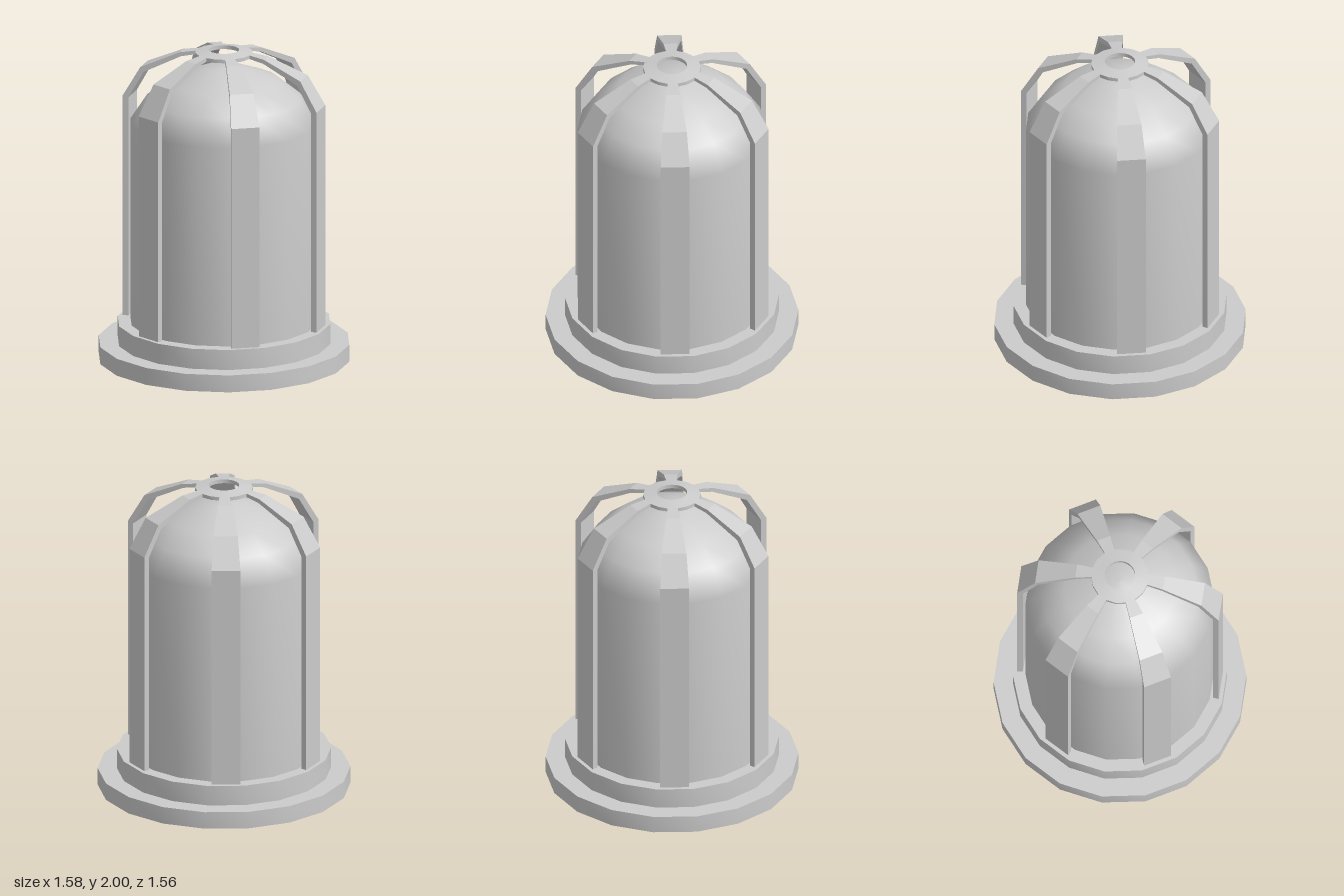
import * as THREE from 'three';
import { toCreasedNormals } from 'three/addons/utils/BufferGeometryUtils.js';

const SIDES = 18;
const grey = new THREE.MeshStandardMaterial({ color: 0xcccccc });
const flatGrey = new THREE.MeshStandardMaterial({ color: 0xcccccc, flatShading: true });

// Turned part with a polygon corner on the x axis
function turned(points, sides = SIDES) {
  const profile = points.map(([r, y]) => new THREE.Vector2(r, y));
  return new THREE.LatheGeometry(profile, sides, Math.PI / 2);
}

function addMesh(parent, name, geometry, material) {
  const mesh = new THREE.Mesh(geometry, material);
  mesh.name = name;
  parent.add(mesh);
  return mesh;
}

// Tapered bent strip along +x, lofted through four-cornered sections
function barGeometry() {
  // outer radius, outer height, inner radius, inner height
  const sections = [
    [0.636, 0.23, 0.6, 0.23],
    [0.636, 1.67, 0.6, 1.66],
    [0.525, 1.86, 0.503, 1.83],
    [0.277, 1.97, 0.268, 1.945],
    [0.165, 1.988, 0.165, 1.965],
  ];
  const positions = [];
  const index = [];
  for (const [ro, yo, ri, yi] of sections) {
    const ho = 0.009 + 0.128 * ro;
    const hi = 0.009 + 0.128 * ri;
    positions.push(ro, yo, ho, ro, yo, -ho, ri, yi, -hi, ri, yi, hi);
  }
  for (let s = 0; s < sections.length - 1; s++) {
    for (let k = 0; k < 4; k++) {
      const a = s * 4 + k;
      const b = s * 4 + ((k + 1) % 4);
      index.push(a, b, b + 4, a, b + 4, a + 4);
    }
  }
  // end caps
  const e = (sections.length - 1) * 4;
  index.push(0, 2, 1, 0, 3, 2, e, e + 1, e + 2, e, e + 2, e + 3);
  const geometry = new THREE.BufferGeometry();
  geometry.setAttribute('position', new THREE.Float32BufferAttribute(positions, 3));
  geometry.setIndex(index);
  geometry.computeVertexNormals();
  return geometry;
}

// Ring with a round hole and an 18-sided rim
function hubGeometry() {
  const geometry = turned(
    [[0.095, 1.975], [0.18, 1.963], [0.18, 1.986], [0.095, 2], [0.095, 1.975]], SIDES * 2);
  const pos = geometry.attributes.position;
  const chord = Math.cos(Math.PI / SIDES);
  for (let i = 0; i < pos.count; i++) {
    const ringStep = Math.floor(i / 5);
    const x = pos.getX(i);
    const z = pos.getZ(i);
    if (ringStep % 2 === 1 && Math.hypot(x, z) > 0.15) pos.setXYZ(i, x * chord, pos.getY(i), z * chord);
  }
  return toCreasedNormals(geometry, 0.6);
}

export function createModel() {
  const model = new THREE.Group();
  model.name = 'cagedLamp';

  // Stepped base, recessed underneath
  const base = turned([
    [0, 0.07], [0.66, 0.07], [0.66, 0], [0.79, 0],
    [0.79, 0.11], [0.67, 0.11], [0.67, 0.24], [0, 0.24],
  ]);
  addMesh(model, 'base', toCreasedNormals(base, 0.6), grey);

  // Domed cover
  const cover = turned([
    [0.59, 0.23], [0.59, 1.53], [0.485, 1.69], [0.35, 1.8], [0.12, 1.888], [0, 1.895],
  ]);
  addMesh(model, 'domeCover', cover, grey);

  // Protective cage
  const cage = new THREE.Group();
  cage.name = 'cage';
  model.add(cage);
  addMesh(cage, 'cageHub', hubGeometry(), grey);
  const bar = barGeometry();
  for (let i = 0; i < 6; i++) {
    const mesh = addMesh(cage, 'cageBar' + (i + 1), bar, flatGrey);
    mesh.rotation.y = -THREE.MathUtils.degToRad(10 + i * 60);
  }
  return model;
}
